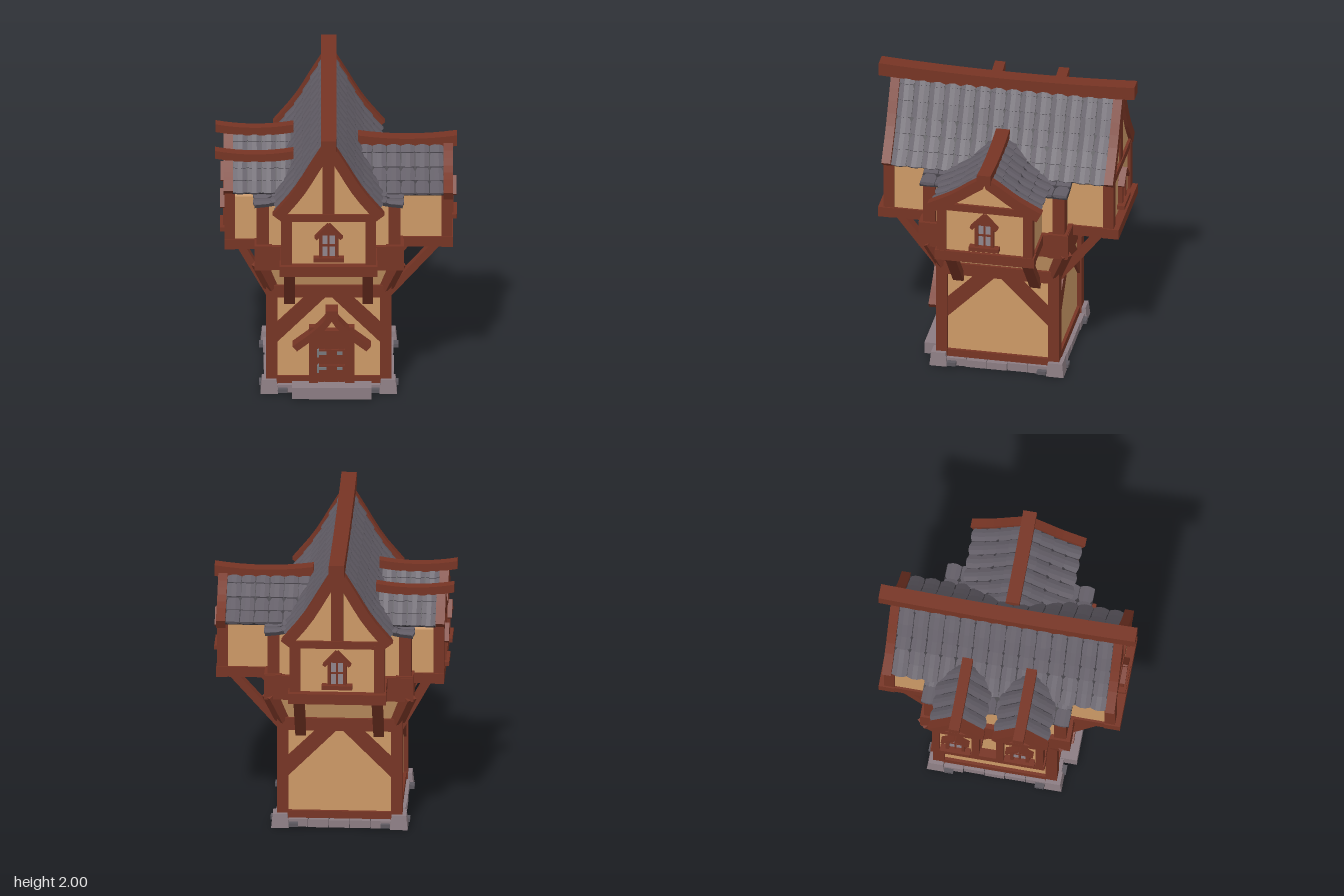
import * as THREE from 'three';
import { mergeGeometries } from 'three/addons/utils/BufferGeometryUtils.js';

const mat = (name, color) => Object.assign(new THREE.MeshStandardMaterial({ color }), { name });
const V = (x, y, z = 0) => new THREE.Vector3(x, y, z);

export function createModel() {
  const wood = mat('wood', 0x763424), plaster = mat('plaster', 0xcc9966), slate = mat('slate', 0x625d66),
    gap = mat('slate gap', 0x3d3a40), stone = mat('stone', 0x8b7c82), darkStone = mat('dark stone', 0x5c585f),
    iron = mat('iron', 0x77787c), glass = mat('window pane', 0x8f858c);
  plaster.side = THREE.DoubleSide;

  let seed = 7;
  const rnd = () => ((seed = (seed * 16807) % 2147483647) / 2147483647) - 0.5;

  const root = new THREE.Group();
  root.name = 'timberHouse';
  const group = (parent, name, x = 0, y = 0, z = 0, ry = 0) => {
    const g = new THREE.Group();
    g.name = name;
    g.position.set(x, y, z);
    g.rotation.y = ry;
    parent.add(g);
    return g;
  };
  const add = (parent, name, geo, m) => {
    const mesh = new THREE.Mesh(geo, m);
    mesh.name = name;
    parent.add(mesh);
    return mesh;
  };
  // box given by its min and max limits on each axis
  const box = (p, name, m, x0, x1, y0, y1, z0, z1) => {
    const mesh = add(p, name, new THREE.BoxGeometry(x1 - x0, y1 - y0, z1 - z0), m);
    mesh.position.set((x0 + x1) / 2, (y0 + y1) / 2, (z0 + z1) / 2);
    return mesh;
  };
  // square timber between two points
  const timber = (p, name, a, b, w, h = w) => {
    const mesh = add(p, name, new THREE.BoxGeometry(w, h, a.distanceTo(b)), wood);
    mesh.position.copy(a).lerp(b, 0.5);
    mesh.quaternion.setFromRotationMatrix(new THREE.Matrix4().lookAt(a, b, V(0, 1, 0.001)));
    return mesh;
  };
  const prism = (p, name, m, pts, z0, z1) => {
    const shape = new THREE.Shape(pts.map(q => new THREE.Vector2(q[0], q[1])));
    const mesh = add(p, name, new THREE.ExtrudeGeometry(shape, { depth: z1 - z0, bevelEnabled: false }), m);
    mesh.position.z = z0;
    return mesh;
  };
  const curveOf = pts => new THREE.CatmullRomCurve3(pts.map(q => V(q[0], q[1])));
  // strip of even thickness hanging under a curve, s = side
  const strip = (curve, th, s, n = 8) => {
    const out = [], inn = [];
    for (let i = 0; i <= n; i++) {
      const q = curve.getPointAt(i / n), t = curve.getTangentAt(i / n);
      out.push([s * q.x, q.y]);
      inn.unshift([s * Math.max(0, q.x + t.y * th), q.y - t.x * th]);
    }
    return out.concat(inn);
  };

  // slightly domed shingles laid down a curve
  const shingles = (p, curve, s, z0, z1, rows, cols) => {
    const geos = [], len = curve.getLength() / rows, w = (z1 - z0) / cols;
    for (let r = 0; r < rows; r++) for (let c = 0; c < cols; c++) {
      let g = new THREE.BoxGeometry(len * 1.12, 0.022, w * (0.95 + rnd() * 0.06), 2, 1, 3);
      const a = g.attributes.position;
      for (let i = 0; i < a.count; i++) {
        const edge = Math.abs(a.getZ(i)) > w * 0.3;
        if (a.getY(i) > 0 && edge) a.setY(i, 0.003);
        if (a.getX(i) > len * 0.4 && edge) a.setX(i, a.getX(i) - 0.008);
      }
      g.rotateY(rnd() * 0.07);
      g.rotateZ(0.09 + rnd() * 0.05);
      const u = (r + 0.5) / rows, q = curve.getPointAt(u), t = curve.getTangentAt(u);
      g.applyMatrix4(new THREE.Matrix4().makeBasis(V(s * t.x, t.y), V(-s * t.y, t.x), V(0, 0, s))
        .setPosition(s * q.x, q.y, z0 + (c + 0.5) * w));
      g = g.toNonIndexed();
      g.computeVertexNormals();
      geos.push(g);
    }
    add(p, 'shingles', mergeGeometries(geos), slate);
    prism(p, 'roofDeck', gap, strip(curve, 0.02, s), z0, z1);
  };

  const window_ = (parent, y, z) => {
    const g = group(parent, 'window', 0, y, z);
    box(g, 'pane', glass, -0.045, 0.045, 0.02, 0.185, 0, 0.008);
    for (const s of [-1, 1]) {
      box(g, 'frameSide', wood, s * 0.052 - 0.011, s * 0.052 + 0.011, 0.02, 0.2, 0, 0.03);
      timber(g, 'hood', V(s * 0.085, 0.165, 0.025), V(0, 0.255, 0.025), 0.045, 0.022);
    }
    prism(g, 'hoodFill', wood, [[-0.06, 0.18], [0.06, 0.18], [0, 0.245]], 0, 0.02);
    box(g, 'mullion', wood, -0.006, 0.006, 0.02, 0.19, 0, 0.018);
    box(g, 'transom', wood, -0.045, 0.045, 0.1, 0.112, 0, 0.016);
    box(g, 'sill', wood, -0.1, 0.1, 0, 0.028, 0, 0.05);
  };

  // gabled wing reaching out along its own +z
  const wing = (name, x, z, ry, o) => {
    const g = group(root, name, x, 0, z, ry), f = o.front, hw = o.half;
    const barge = curveOf(o.profile), roof = curveOf(o.profile.map(q => [q[0] * 0.93, q[1] - 0.02]));
    const top = roof.getSpacedPoints(10).filter(q => q.x < hw - 0.01).map(q => [q.x, q.y - 0.05]);
    const side = [...top, [hw - 0.01, o.eave], [hw - 0.01, 1.03]];
    prism(g, 'walls', plaster, [...side, ...side.slice(1).reverse().map(q => [-q[0], q[1]])], o.back, f);
    for (const s of [-1, 1]) {
      shingles(g, roof, s, o.back, f - 0.035, o.rows, o.cols);
      prism(g, 'bargeBoard', wood, strip(barge, 0.07, s), f - 0.035, f + 0.025);
      const px = s * (hw - o.post / 2);
      box(g, 'cornerPost', wood, px - o.post / 2, px + o.post / 2, 1.05, o.eave + 0.02, f - 0.05, f + 0.02);
      box(g, 'sideSill', wood, px - o.post / 2 - 0.005, px + o.post / 2 + 0.005, 1.01, 1.08, 0.4, f);
    }
    box(g, 'tieBeam', wood, -hw, hw, o.eave - 0.005, o.eave + 0.045, f - 0.03, f + 0.018);
    box(g, 'sill', wood, -hw - 0.01, hw + 0.01, 1.01, 1.08, f - 0.05, f + o.sill);
    if (o.king) box(g, 'kingPost', wood, -0.04, 0.04, o.eave, 1.92, f - 0.03, f + 0.012);
    for (const bx of o.braces) timber(g, 'jettyBrace', V(bx, 1.03, f - 0.07), V(bx, 0.65, o.foot), 0.07, 0.05);
    window_(g, 1.11, f);
    // sagging ridge beam
    const [r0, r1, mid, yTop, w, h, sag] = o.ridge;
    const rg = new THREE.BoxGeometry(w, h, r1 - r0, 1, 1, 8).translate(0, yTop - h / 2, (r0 + r1) / 2);
    const a = rg.attributes.position;
    for (let i = 0; i < a.count; i++) a.setY(i, a.getY(i) - sag * (1 - ((a.getZ(i) - mid) / (r1 - mid)) ** 2));
    add(g, 'ridgeBeam', rg, wood);
    return g;
  };

  const CX = -0.05, CZ = -0.012;

  // main roof, front and back halves, with low roofs over the corners
  const lowRoof = curveOf([[0.26, 1.43], [0.37, 1.395], [0.485, 1.38]]);
  for (const ry of [0, Math.PI]) {
    const g = wing(ry ? 'backWing' : 'frontWing', CX, 0, ry, {
      front: 0.745, back: 0, half: 0.31, post: 0.07, eave: 1.39, sill: 0.055, king: true, rows: 6, cols: 7,
      profile: [[0, 1.985], [0.1, 1.82], [0.225, 1.61], [0.365, 1.435]],
      braces: [-0.255, 0.255], foot: 0.38, ridge: [0, 0.85, 0, 2, 0.1, 0.09, 0.025],
    });
    for (const s of [-1, 1]) shingles(g, lowRoof, s, 0, 0.49, 2, 5);
  }
  // wide dormer on the left, two small dormers on the right
  wing('leftDormer', 0, -0.005, Math.PI / 2, {
    front: 0.735, back: 0.14, half: 0.32, post: 0.065, eave: 1.385, sill: 0.025, rows: 4, cols: 6,
    profile: [[0, 1.655], [0.1, 1.59], [0.22, 1.505], [0.38, 1.42]],
    braces: [-0.255, 0.255], foot: 0.33, ridge: [0.14, 0.785, 0.46, 1.68, 0.09, 0.075, 0.025],
  });
  for (const [z, b] of [[0.2, 0.05], [-0.225, -0.035]]) wing('rightDormer', 0, z, -Math.PI / 2, {
    front: 0.71, back: 0.3, half: 0.155, post: 0.05, eave: 1.38, sill: 0.02, rows: 3, cols: 4,
    profile: [[0, 1.625], [0.09, 1.53], [0.185, 1.435]],
    braces: [b], foot: 0.43, ridge: [0.28, 0.79, 0.53, 1.655, 0.07, 0.055, 0.025],
  });
  box(root, 'dormerLink', wood, -0.73, -0.67, 1.012, 1.078, -0.1, 0.08);

  // upper floor core
  box(root, 'upperWalls', plaster, -0.5, 0.4, 0.95, 1.375, -0.46, 0.46);

  // tower, one side at a time
  const tower = group(root, 'tower', CX, 0, CZ);
  for (let i = 0; i < 4; i++) {
    const g = group(tower, 'towerSide', 0, 0, 0, i * Math.PI / 2);
    box(g, 'wall', plaster, -0.385, 0.385, 0.06, 0.76, 0.36, 0.38);
    box(g, 'post', wood, -0.41, -0.335, 0.06, 0.768, 0.335, 0.41);
    box(g, 'topBeam', wood, -0.335, 0.335, 0.68, 0.765, 0.345, 0.408);
    box(g, 'bottomBeam', wood, -0.335, 0.335, 0.065, 0.115, 0.345, 0.4);
    for (const s of [-1, 1]) {
      prism(g, 'brace', wood, [[-0.335, 0.36], [-0.335, 0.5], [-0.155, 0.68], [-0.02, 0.68]].map(q => [s * q[0], q[1]]), 0.375, 0.4);
      box(g, 'footing', darkStone, s * 0.3 - 0.03, s * 0.3 + 0.03, 0.02, 0.045, 0.42, 0.455);
    }
    timber(g, 'covePost', V(-0.375, 0.75, 0.375), V(-0.455, 0.95, 0.455), 0.075);
    for (let k = 0; k < 5; k++) {
      const x = -0.34 + k * 0.136;
      box(g, 'baseStone', stone, x, x + 0.132, 0.01, 0.062 + rnd() * 0.008, 0.36, 0.425 + rnd() * 0.01);
    }
    const corner = add(g, 'cornerStone', new THREE.CylinderGeometry(0.068, 0.082, 0.095, 4).toNonIndexed().rotateY(Math.PI / 4), stone);
    corner.geometry.computeVertexNormals();
    corner.position.set(-0.388, 0.055, 0.388);
  }
  const cove = new THREE.CylinderGeometry(0.45 * Math.SQRT2, 0.385 * Math.SQRT2, 0.19, 4, 1, true).rotateY(Math.PI / 4).toNonIndexed();
  cove.computeVertexNormals();
  add(tower, 'cove', cove, plaster).position.y = 0.85;

  // heavy beams and posts of the upper floor
  for (const s of [-1, 1]) {
    box(root, 'girder', wood, -0.53, 0.435, 0.92, 1.085, s * 0.45 - 0.045, s * 0.45 + 0.045);
    box(root, 'girder', wood, CX + s * 0.44 - 0.045, CX + s * 0.44 + 0.045, 0.922, 1.083, -0.42, 0.42);
    for (const t of [-1, 1]) {
      const x = CX + s * 0.43, z = t * 0.43;
      box(root, 'upperPost', wood, x - 0.04, x + 0.04, 1.05, 1.378, z - 0.04, z + 0.04);
      box(root, 'girderEnd', wood, x - 0.055, x + 0.06, 0.918, 1.092, z - 0.06, z + 0.068);
    }
  }

  // door with porch hood and step
  const door = group(root, 'door', -0.03, 0, 0.37);
  for (let k = 0; k < 4; k++) box(door, 'plank', wood, -0.086 + k * 0.043, -0.046 + k * 0.043, 0.085, 0.42, 0, 0.042 + (k % 2) * 0.006);
  box(door, 'doorBack', wood, -0.09, 0.09, 0.085, 0.42, 0, 0.035);
  box(door, 'lintel', wood, -0.14, 0.14, 0.42, 0.455, 0, 0.058);
  for (const s of [-1, 1]) {
    box(door, 'jamb', wood, s * 0.118 - 0.03, s * 0.118 + 0.03, 0.085, 0.48, 0, 0.06);
    const hood = curveOf([[0, 0.605], [0.1, 0.49], [0.255, 0.365]]);
    prism(door, 'hood', wood, strip(hood, 0.045, s), 0.01, 0.105);
  }
  box(door, 'hoodRidge', wood, -0.042, 0.042, 0.545, 0.62, 0, 0.112);
  for (const y of [0.19, 0.3]) {
    box(door, 'hingeBar', wood, -0.088, 0.088, y - 0.02, y + 0.02, 0.03, 0.06);
    box(door, 'hinge', iron, -0.09, -0.035, y - 0.01, y + 0.01, 0.05, 0.068);
    box(door, 'hingePin', iron, -0.095, -0.083, y - 0.028, y + 0.028, 0.05, 0.075);
    box(door, 'stud', iron, 0.035, 0.07, y - 0.01, y + 0.01, 0.05, 0.068);
  }
  box(root, 'step', stone, -0.29, 0.23, 0, 0.08, 0.39, 0.5);
  return root;
}
